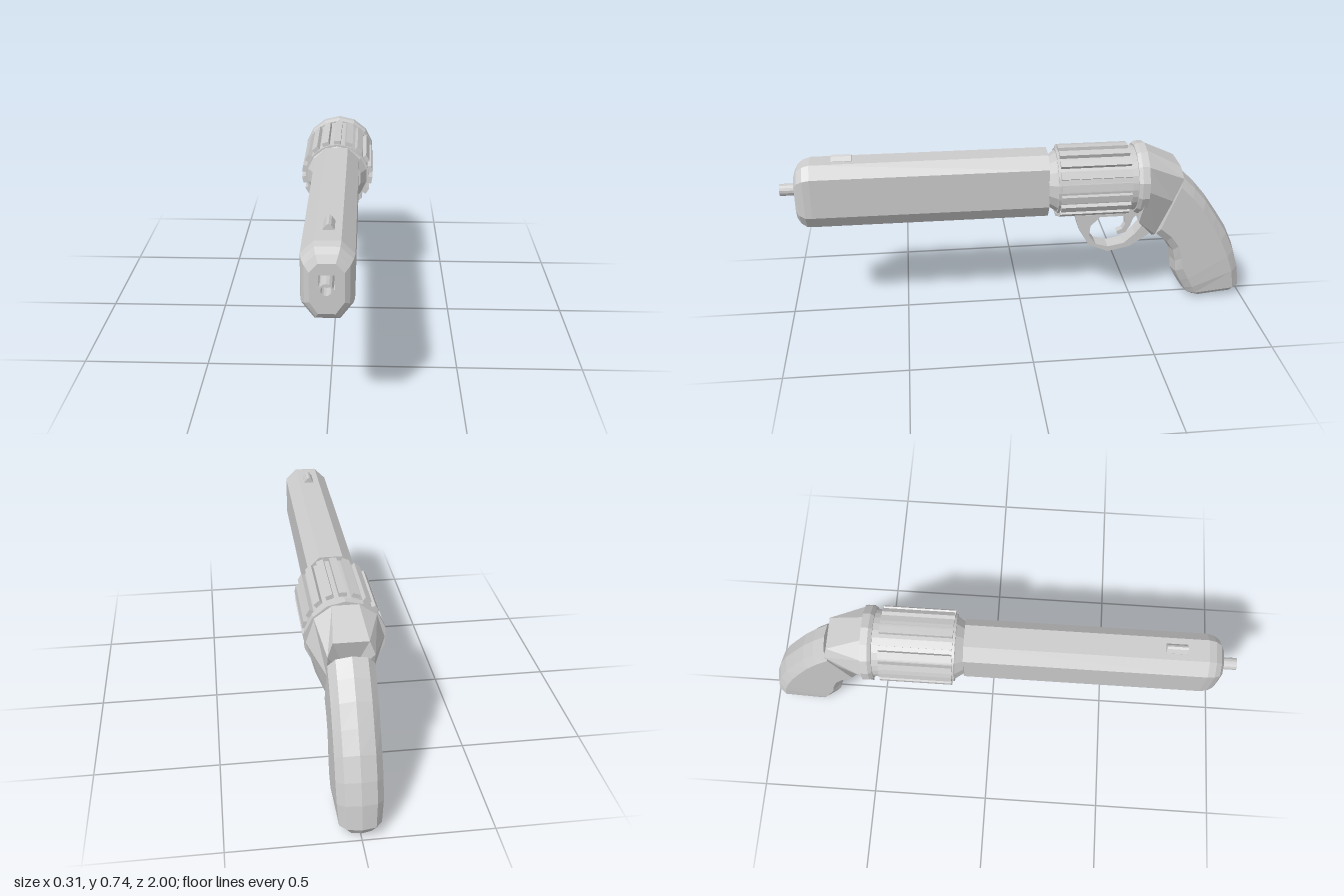
import * as THREE from 'three';

const material = new THREE.MeshStandardMaterial({ color: 0xcccccc, flatShading: true, side: THREE.DoubleSide });
const AXIS_Y = 0.585;

function add(group, name, geometry) {
  const mesh = new THREE.Mesh(geometry, material);
  mesh.name = name;
  group.add(mesh);
  return mesh;
}

// Skin closed rings of [x, y, z] points, counter-clockwise about the direction of travel.
function loft(rings, capEnd = true) {
  const out = [];
  const n = rings[0].length;
  const centre = (r) => [0, 1, 2].map((k) => r.reduce((s, p) => s + p[k], 0) / n);
  const first = rings[0], last = rings[rings.length - 1];
  const c0 = centre(first), c1 = centre(last);
  for (let j = 0; j < n; j++) {
    const k = (j + 1) % n;
    for (let i = 0; i < rings.length - 1; i++) {
      const a = rings[i], b = rings[i + 1];
      out.push(a[j], a[k], b[k], a[j], b[k], b[j]);
    }
    out.push(c0, first[k], first[j]);
    if (capEnd) out.push(c1, last[j], last[k]);
  }
  const g = new THREE.BufferGeometry();
  g.setAttribute('position', new THREE.Float32BufferAttribute(out.flat(), 3));
  g.computeVertexNormals();
  return g;
}

// Side profile given as [distance behind centre, height], extruded across x.
function sideExtrude(points, halfWidth, hole) {
  const toVec = (p) => new THREE.Vector2(p[0], p[1]);
  const shape = new THREE.Shape(points.map(toVec));
  if (hole) shape.holes.push(new THREE.Path(hole.map(toVec)));
  const g = new THREE.ExtrudeGeometry(shape, { depth: halfWidth * 2, bevelEnabled: false });
  return g.translate(0, 0, -halfWidth).rotateY(Math.PI / 2);
}

// Turned part along z; profile is [radius, z].
function turned(profile, sides) {
  const g = new THREE.LatheGeometry(profile.map((p) => new THREE.Vector2(p[0], p[1])), sides);
  return g.rotateX(Math.PI / 2);
}

const mirrorRing = (half) => [...half, ...half.slice().reverse().map(([x, y]) => [-x, y])];

export function createModel() {
  const model = new THREE.Group();
  model.name = 'revolver';

  // Eight-sided barrel with a rounded nose
  const section = mirrorRing([[0.047, 0.443], [0.095, 0.505], [0.095, 0.675], [0.047, 0.722]]);
  const barrelRing = (z, side, top, bottom) => section.map(([x, y]) => [
    x * (1 - side),
    y > 0.6 ? y - top * (y > 0.7 ? 1 : 0.75) : y + bottom * (y < 0.46 ? 1 : 0.5),
    z,
  ]);
  const nose = barrelRing(0.936, 0.36, 0.055, 0.035);
  add(model, 'barrel', loft([
    barrelRing(-0.115, 0, 0, 0), barrelRing(0.868, 0, 0, 0), barrelRing(0.898, 0.05, 0.009, 0),
    barrelRing(0.922, 0.17, 0.027, 0.016), nose,
  ], false));

  // Nose face with a square recess around the muzzle tube
  const face = new THREE.Shape(nose.map(([x, y]) => new THREE.Vector2(x, y)));
  const h = 0.027;
  face.holes.push(new THREE.Path([[-h, -h], [-h, h], [h, h], [h, -h]].map(([x, y]) => new THREE.Vector2(x, y + 0.597))));
  add(model, 'barrelFace', new THREE.ShapeGeometry(face).translate(0, 0, 0.936));
  const recess = new THREE.CylinderGeometry(h * Math.SQRT2, h * Math.SQRT2, 0.04, 4, 1, true)
    .rotateY(Math.PI / 4).rotateX(Math.PI / 2);
  add(model, 'muzzleRecess', recess).position.set(0, 0.597, 0.916);
  add(model, 'recessFloor', new THREE.PlaneGeometry(h * 2, h * 2)).position.set(0, 0.597, 0.896);
  add(model, 'muzzleTube', turned([[0.025, 0.896], [0.025, 1], [0.019, 1], [0.019, 0.94], [0, 0.94]], 14))
    .position.y = 0.599;

  // Front sight
  const sight = new THREE.Shape([[-0.021, 0.715], [0.021, 0.715], [0.021, 0.724], [0.009, 0.741], [0, 0.746],
    [-0.009, 0.741], [-0.021, 0.724]].map(([x, y]) => new THREE.Vector2(x, y)));
  add(model, 'frontSight', new THREE.ExtrudeGeometry(sight, { depth: 0.085, bevelEnabled: false }).translate(0, 0, 0.695));

  // Cylinder: collar, core and rear disc
  const collar = add(model, 'collar', turned([[0, -0.112], [0.105, -0.112], [0.128, -0.145], [0.14, -0.16], [0, -0.16]], 14));
  const core = add(model, 'cylinderCore', turned([[0, -0.15], [0.139, -0.15], [0.139, -0.495], [0, -0.495]], 28));
  const disc = add(model, 'rearDisc', turned([[0, -0.485], [0.148, -0.485], [0.157, -0.5], [0.157, -0.53], [0, -0.53]], 14));
  for (const part of [collar, core, disc]) part.position.y = AXIS_Y;

  // Raised ribs around the cylinder
  const ribs = new THREE.Group();
  ribs.name = 'cylinderRibs';
  ribs.position.set(0, AXIS_Y, -0.308);
  const ribCount = 18;
  for (let i = 0; i < ribCount; i++) {
    const a = (i / ribCount) * Math.PI * 2;
    const rib = add(ribs, 'rib', new THREE.BoxGeometry(0.03, 0.034, 0.297));
    rib.position.set(Math.sin(a) * 0.138, Math.cos(a) * 0.138, 0);
    rib.rotation.z = -a;
  }
  model.add(ribs);

  // Rear frame tapering from the disc to the slanted grip joint
  const frameFront = mirrorRing([[0.055, 0.425], [0.11, 0.42], [0.152, 0.58], [0.12, 0.68], [0.05, 0.73]])
    .map(([x, y]) => [x, y, -0.525 + (y < 0.5 ? 0.025 : 0)]);
  const frameRear = mirrorRing([[0.036, 0.318], [0.062, 0.335], [0.085, 0.5], [0.088, 0.605], [0.068, 0.655]])
    .map(([x, y]) => [x, y, y > 0.65 ? -0.677 : -0.58 - (y - 0.318) * 0.385]);
  add(model, 'rearFrame', loft([frameRear, frameFront]));

  // Trigger guard with its mounting strip, and the trigger
  add(model, 'triggerGuard', sideExtrude(
    [[0.15, 0.445], [0.15, 0.433], [0.235, 0.433], [0.255, 0.36], [0.30, 0.285], [0.385, 0.248], [0.48, 0.268],
      [0.575, 0.33], [0.55, 0.445]],
    0.036,
    [[0.345, 0.418], [0.305, 0.375], [0.3, 0.33], [0.33, 0.288], [0.385, 0.272], [0.455, 0.285], [0.505, 0.33],
      [0.535, 0.37], [0.505, 0.418]]));
  add(model, 'trigger', sideExtrude(
    [[0.455, 0.43], [0.463, 0.37], [0.45, 0.345], [0.425, 0.335], [0.432, 0.318], [0.465, 0.328], [0.485, 0.36],
      [0.497, 0.395], [0.525, 0.43]], 0.016));

  // Curved grip: each row is back z, back y, front z, front y, width scale
  const gripRows = [
    [-0.70, 0.61, -0.588, 0.325, 1], [-0.755, 0.555, -0.638, 0.285, 1], [-0.81, 0.49, -0.668, 0.24, 1],
    [-0.865, 0.41, -0.68, 0.185, 1], [-0.917, 0.33, -0.682, 0.135, 1], [-0.958, 0.24, -0.705, 0.09, 1],
    [-0.985, 0.155, -0.728, 0.052, 0.98], [-1.0, 0.055, -0.742, 0.03, 0.9], [-0.985, 0.028, -0.775, 0.008, 0.62],
  ];
  const gripHalf = [[0, 1], [-0.06, 0.96], [-0.088, 0.84], [-0.088, 0.16], [-0.06, 0.04]];
  const gripSection = [...gripHalf, ...gripHalf.map(([x, w]) => [-x, 1 - w])];
  add(model, 'grip', loft(gripRows.map(([bz, by, fz, fy, s]) =>
    gripSection.map(([x, w]) => [x * s, by + (fy - by) * w, bz + (fz - bz) * w]))));

  return model;
}
